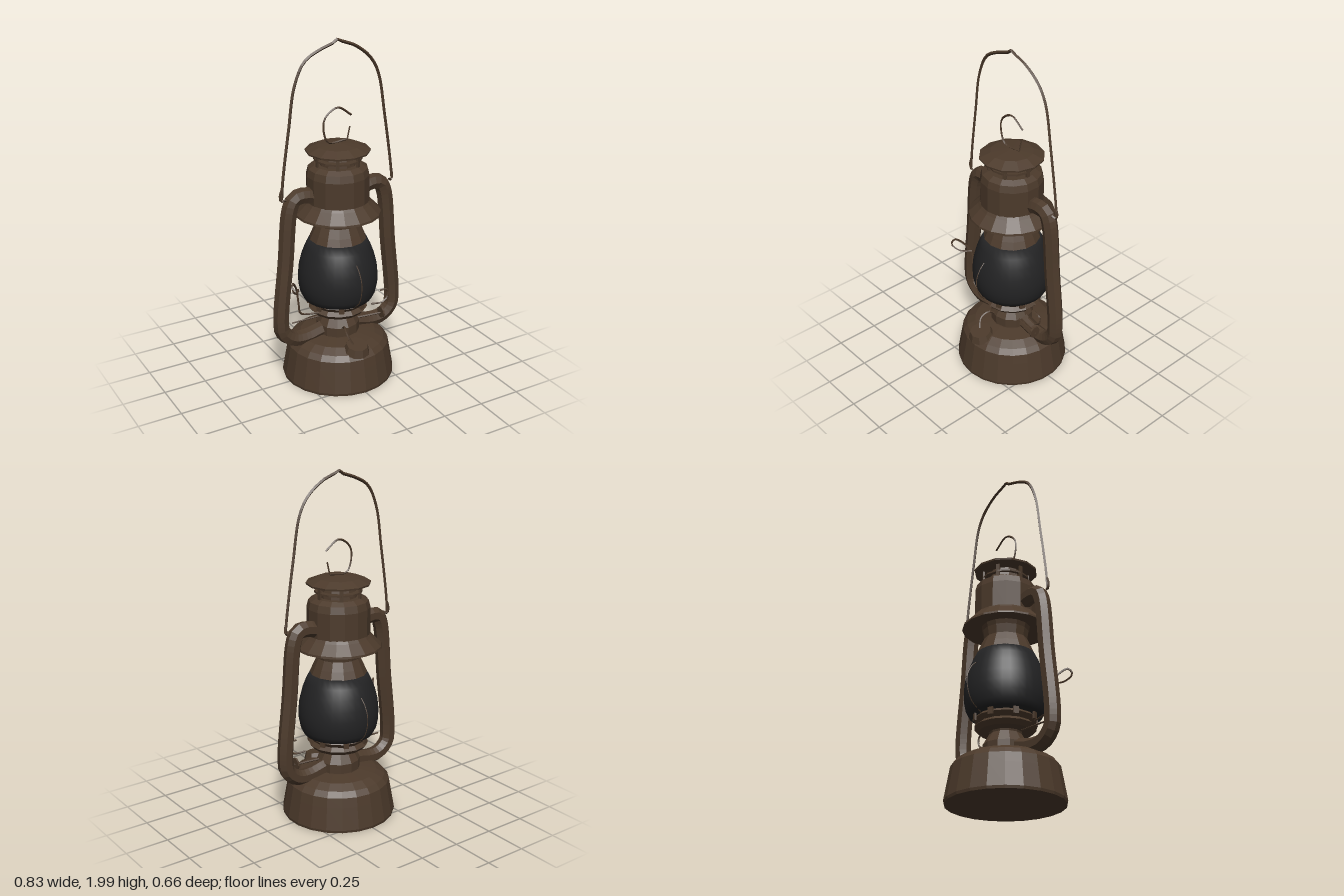
import * as THREE from 'three';

const metal = new THREE.MeshStandardMaterial({ color: 0x4c3a2b, flatShading: true, side: THREE.DoubleSide });
metal.name = 'aged brown metal';
const glass = new THREE.MeshStandardMaterial({ color: 0x232324, side: THREE.DoubleSide });
glass.name = 'smoked black glass';

export function createModel() {
  const model = new THREE.Group();
  model.name = 'oilLantern';

  const add = (name, geometry, material = metal) => {
    const mesh = new THREE.Mesh(geometry, material);
    mesh.name = name;
    model.add(mesh);
    return mesh;
  };
  // Turned part from [radius, height] pairs
  const turned = (name, profile, sides, material) =>
    add(name, new THREE.LatheGeometry(profile.map(p => new THREE.Vector2(...p)), sides), material);
  // Bent rod or wire through [x, y, z] points
  const rod = (name, points, radius, sides = 5, steps = 24) => {
    const curve = new THREE.CatmullRomCurve3(points.map(p => new THREE.Vector3(...p)), false, 'centripetal');
    return add(name, new THREE.TubeGeometry(curve, steps, radius, sides));
  };

  // Fuel tank and burner
  turned('fuelTank', [[0, 0.005], [0.325, 0.005], [0.328, 0.02], [0.305, 0.15], [0.295, 0.205],
    [0.27, 0.235], [0.22, 0.262], [0.13, 0.275], [0, 0.28]], 22);
  turned('burnerNeck', [[0.125, 0.26], [0.125, 0.33], [0.09, 0.39], [0.095, 0.41]], 12);
  turned('burnerCollar', [[0.08, 0.4], [0.15, 0.405], [0.172, 0.43], [0.15, 0.45], [0.172, 0.475], [0.16, 0.49], [0, 0.49]], 14);
  for (let i = 0; i < 8; i++) {
    const a = (i + 0.5) * Math.PI / 4;
    const prong = add('globeProng', new THREE.BoxGeometry(0.012, 0.06, 0.03));
    prong.position.set(Math.cos(a) * 0.175, 0.485, Math.sin(a) * 0.175);
    prong.rotation.y = -a;
  }

  // Globe
  turned('glassGlobe', [[0, 0.495], [0.2, 0.495], [0.218, 0.53], [0.228, 0.58], [0.23, 0.63], [0.224, 0.69],
    [0.208, 0.755], [0.187, 0.81], [0.163, 0.858], [0, 0.858]], 32, glass);

  // Chimney, hood and cap
  turned('chimneyBase', [[0.165, 0.852], [0.145, 0.9], [0.122, 0.95], [0.13, 1.0], [0.14, 1.03]], 14);
  turned('hoodSkirt', [[0.13, 1.025], [0.245, 1.01], [0.243, 1.022], [0.19, 1.075], [0.178, 1.09]], 18);
  turned('hood', [[0.178, 1.07], [0.178, 1.24], [0.168, 1.28], [0.135, 1.3], [0.1, 1.3]], 14);
  turned('ventNeck', [[0.105, 1.29], [0.1, 1.33], [0.085, 1.39]], 12);
  turned('ventRing', [[0.135, 1.325], [0.135, 1.335], [0.095, 1.335], [0.095, 1.325]], 12);
  turned('cap', [[0, 1.375], [0.1, 1.37], [0.18, 1.372], [0.182, 1.382], [0.12, 1.408], [0, 1.42]], 12);
  for (let i = 0; i < 6; i++) {
    const a = i * Math.PI / 3;
    const post = add('ventPost', new THREE.BoxGeometry(0.012, 0.1, 0.02));
    post.position.set(Math.cos(a) * 0.128, 1.335, Math.sin(a) * 0.128);
    post.rotation.y = -a;
  }

  // Side air tubes and the bail pivots
  for (const s of [-1, 1]) {
    const tube = rod(s > 0 ? 'leftAirTube' : 'rightAirTube', [[0.14, 1.13, 0], [0.22, 1.15, 0], [0.275, 1.14, 0],
      [0.302, 1.09, 0], [0.335, 0.77, 0], [0.37, 0.42, 0], [0.36, 0.34, 0], [0.3, 0.285, 0],
      [0.22, 0.275, 0], [0.1, 0.3, 0]].map(([x, y, z]) => [x * s, y, z]), 0.046, 7, 40);
    tube.scale.z = 0.95;
    rod('bailHook', [[0.33, 1.15, 0.012], [0.352, 1.14, 0], [0.36, 1.17, 0], [0.348, 1.21, 0]]
      .map(([x, y, z]) => [x * s, y, z]), 0.007, 4, 8);
  }

  // Carrying bail and the cap's lifting ring
  rod('bail', [[-0.35, 1.15, 0], [-0.342, 1.25, 0], [-0.3, 1.54, 0], [-0.262, 1.77, 0], [-0.2, 1.895, 0],
    [-0.1, 1.95, 0], [-0.03, 1.973, 0], [0, 1.992, 0], [0.03, 1.976, 0], [0.1, 1.95, 0], [0.2, 1.875, 0], [0.255, 1.78, 0],
    [0.3, 1.54, 0], [0.342, 1.27, 0], [0.357, 1.15, 0]], 0.009, 4, 56);
  rod('liftingRing', [[0.06, 1.43, 0], [-0.06, 1.43, 0], [-0.09, 1.53, 0], [-0.07, 1.58, 0], [0, 1.618, 0],
    [0.085, 1.565, 0]], 0.006, 4, 24);
  rod('liftingRingEnd', [[0.06, 1.43, 0], [0.076, 1.5, 0]], 0.005, 4, 3);

  // Globe guard wires bowed out at front and back
  for (const s of [-1, 1]) {
    rod('globeGuard', [[0, 0.48, s * 0.17], [0, 0.53, s * 0.235], [0, 0.6, s * 0.265], [0, 0.67, s * 0.268],
      [0, 0.73, s * 0.24], [0, 0.76, s * 0.21]], 0.003, 4, 16);
  }

  // Globe lifting lever with a looped end
  rod('globeLever', [[-0.16, 0.44, 0.06], [-0.27, 0.46, 0.05], [-0.285, 0.52, 0.055], [-0.3, 0.62, 0.06],
    [-0.36, 0.7, 0.13], [-0.37, 0.67, 0.15], [-0.33, 0.63, 0.12], [-0.29, 0.62, 0.06]], 0.006, 4, 32);
  rod('leverPivot', [[-0.31, 0.395, 0.02], [-0.1, 0.395, 0.02]], 0.005, 4, 2);

  // Wick control
  rod('wickShaft', [[0.1, 0.33, 0.04], [0.27, 0.33, 0.06]], 0.006, 4, 2);
  const wheel = add('wickWheel', new THREE.CylinderGeometry(0.035, 0.035, 0.01, 10));
  wheel.position.set(0.262, 0.335, 0.06);
  wheel.rotation.z = Math.PI / 2;
  rod('wickHook', [[0.2, 0.4, 0.05], [0.27, 0.4, 0.06], [0.305, 0.43, 0.06], [0.3, 0.475, 0.06], [0.255, 0.48, 0.06]], 0.006, 4, 16);

  // Filler cap on the front of the tank
  const filler = add('fillerCap', new THREE.CylinderGeometry(0.062, 0.078, 0.045, 9));
  filler.position.set(-0.01, 0.258, 0.235);
  filler.rotation.x = 0.2;
  rod('fillerChain', [[-0.03, 0.28, 0.23], [-0.05, 0.33, 0.2], [-0.04, 0.355, 0.15], [-0.03, 0.33, 0.11]], 0.006, 4, 12);

  return model;
}
